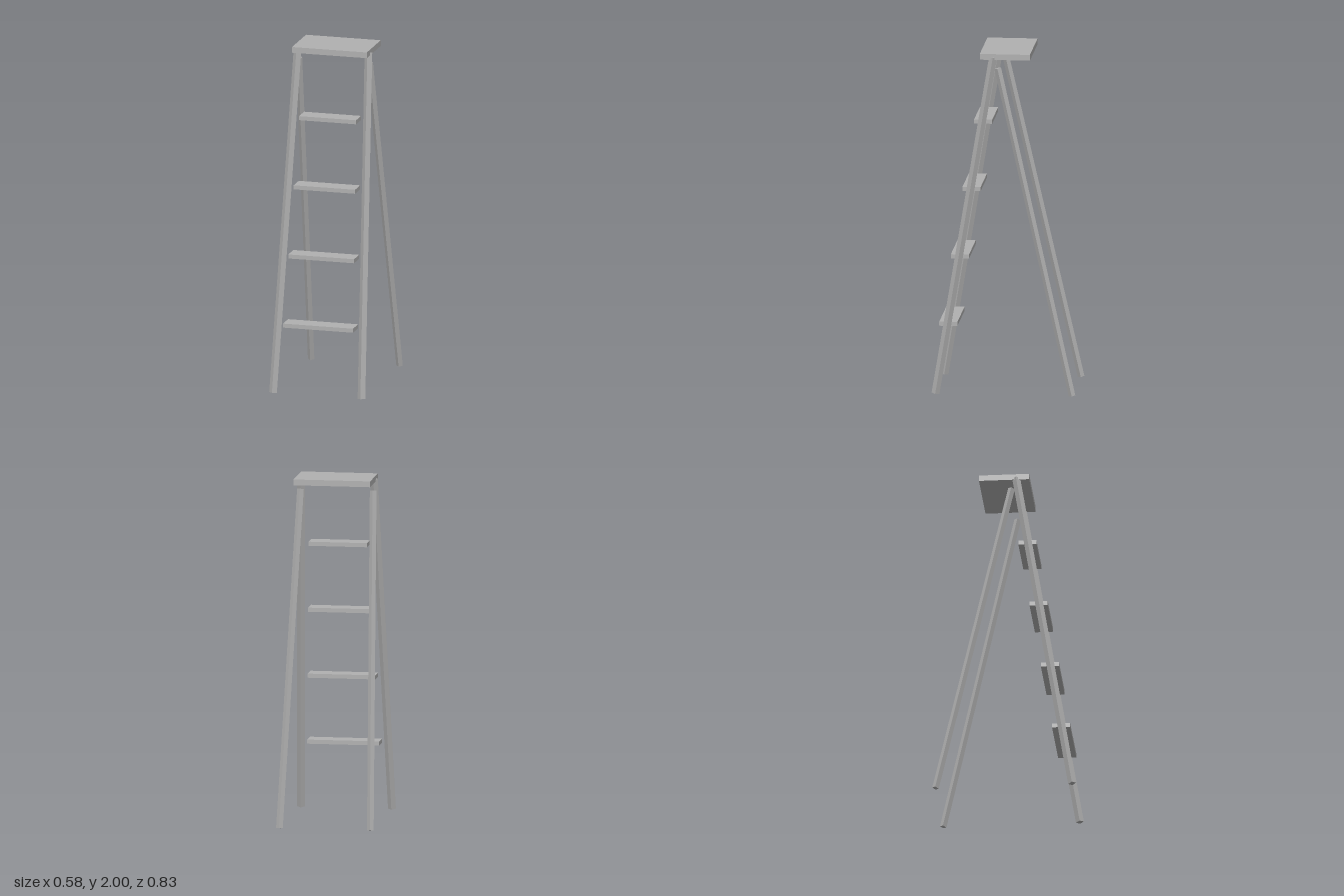
import * as THREE from 'three';

export function createModel() {
  const ladder = new THREE.Group();
  ladder.name = 'stepladder';
  const grey = new THREE.MeshStandardMaterial({ color: 0xb0b0b0 });
  grey.name = 'plain grey';
  grey.flatShading = true;

  function board(name, w, h, d, y, z) {
    const mesh = new THREE.Mesh(new THREE.BoxGeometry(w, h, d), grey);
    mesh.name = name;
    mesh.position.set(0, y, z);
    ladder.add(mesh);
  }

  // Square rod with its corners facing front and sides, laid between two points
  function rod(name, from, to, radius) {
    const axis = to.clone().sub(from);
    const mesh = new THREE.Mesh(new THREE.CylinderGeometry(radius, radius, axis.length(), 4), grey);
    mesh.name = name;
    mesh.position.copy(from).add(to).multiplyScalar(0.5);
    mesh.quaternion.setFromUnitVectors(new THREE.Vector3(0, 1, 0), axis.normalize());
    ladder.add(mesh);
  }

  // Top platform
  board('topPlatform', 0.448, 0.034, 0.29, 1.983, -0.003);

  // Four treads, narrowing upwards and following the front legs
  for (let i = 0; i < 4; i++) {
    board('tread' + (i + 1), 0.42 - i * 0.026, 0.024, 0.105, 0.402 + i * 0.396, 0.3255 - i * 0.066);
  }

  // Splayed front and back legs
  for (const [side, s] of [['left', 1], ['right', -1]]) {
    rod(side + 'FrontLeg', new THREE.Vector3(s * 0.265, 0.004, 0.394), new THREE.Vector3(s * 0.212, 1.98, 0.066), 0.023);
    rod(side + 'BackLeg', new THREE.Vector3(s * 0.265, 0.005, -0.396), new THREE.Vector3(s * 0.212, 1.915, 0.039), 0.0195);
  }
  return ladder;
}
